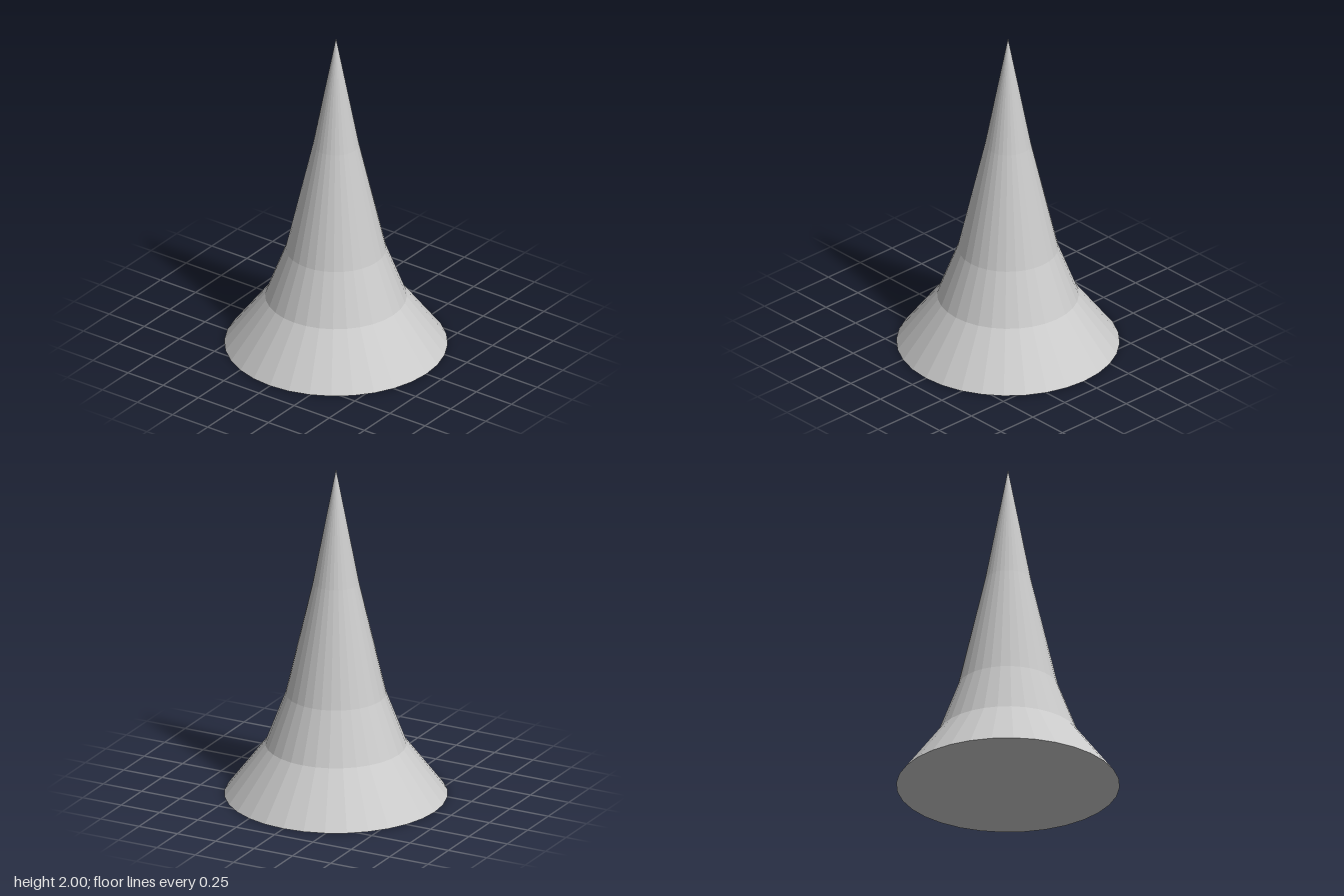
import * as THREE from 'three';

export function createModel() {
  const model = new THREE.Group();
  model.name = 'flaredSpire';

  // Closed profile (radius, height): base centre, flared foot, tapering body, tip
  const profile = [
    [0, 0],
    [0.643, 0],
    [0.408, 0.31],
    [0.29, 0.62],
    [0.133, 1.3],
    [0, 2],
  ].map(([r, y]) => new THREE.Vector2(r, y));

  const spire = new THREE.Mesh(
    new THREE.LatheGeometry(profile, 32),
    new THREE.MeshStandardMaterial({ color: 0xcccccc, flatShading: true })
  );
  spire.name = 'spire';
  model.add(spire);

  return model;
}
